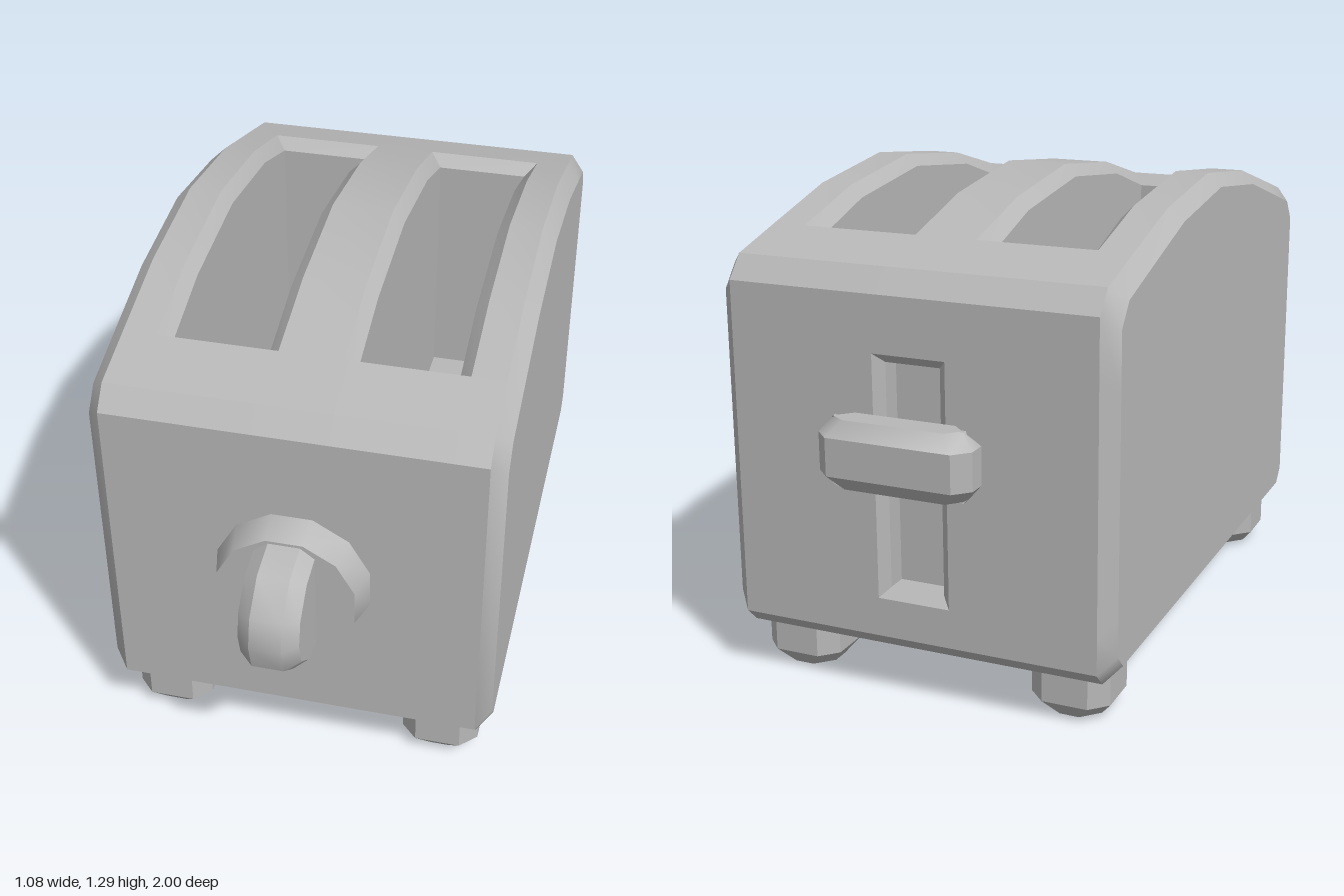
import * as THREE from 'three';
import { toCreasedNormals } from 'three/addons/utils/BufferGeometryUtils.js';

const grey = new THREE.MeshStandardMaterial({ color: 0xb8b8b8, side: THREE.DoubleSide });
grey.name = 'grey';

// Joins closed rings of [x, y, z] points; skip(i, k) leaves a quad open.
function loft(rings, { capStart = true, capEnd = true, skip = () => false } = {}) {
  const pos = [];
  const tri = (a, b, c) => pos.push(...a, ...b, ...c);
  const n = rings[0].length;
  for (let i = 0; i < rings.length - 1; i++) {
    for (let k = 0; k < n; k++) {
      if (skip(i, k)) continue;
      const [r, s, m] = [rings[i], rings[i + 1], (k + 1) % n];
      tri(r[k], r[m], s[m]);
      tri(r[k], s[m], s[k]);
    }
  }
  const first = rings[0], last = rings[rings.length - 1];
  for (let k = 1; k < n - 1; k++) {
    if (capStart) tri(first[0], first[k + 1], first[k]);
    if (capEnd) tri(last[0], last[k], last[k + 1]);
  }
  const geo = new THREE.BufferGeometry();
  geo.setAttribute('position', new THREE.Float32BufferAttribute(pos, 3));
  return toCreasedNormals(geo, 0.6);
}

// Box with all edges chamfered by c.
function chamferBox(w, h, d, c) {
  const ring = (x, z, y) => [
    [x, y, z - c], [x, y, c - z], [x - c, y, -z], [c - x, y, -z],
    [-x, y, c - z], [-x, y, z - c], [c - x, y, z], [x - c, y, z]];
  const small = (y) => ring(w / 2 - c * 0.8, d / 2 - c * 0.8, y);
  const full = (y) => ring(w / 2, d / 2, y);
  return loft([small(-h / 2), full(c - h / 2), full(h / 2 - c), small(h / 2)]);
}

export function createModel() {
  const model = new THREE.Group();
  const add = (name, geo, x = 0, y = 0, z = 0) => {
    const mesh = new THREE.Mesh(geo, grey);
    mesh.name = name;
    mesh.position.set(x, y, z);
    model.add(mesh);
  };

  // Side profile of the body as [z, y], up the front, over the arch, down the back
  const profile = [
    [0.68, 0.135], [0.72, 0.175], [0.72, 1.08], [0.67, 1.14],
    [0.5, 1.187], [0.25, 1.255], [-0.08, 1.295], [-0.41, 1.255], [-0.66, 1.187],
    [-0.83, 1.14], [-0.88, 1.08], [-0.88, 0.93], [-0.88, 0.28], [-0.88, 0.175], [-0.84, 0.135]];
  const section = (x) => profile.map(([z, y]) => Math.abs(x) > 0.53
    ? [x, y > 0.6 ? y - 0.035 : y + 0.04, -0.08 + (z + 0.08) * 0.95]
    : [x, y, z]);

  // Body shell, open at the two bread slots and the lever slot
  const xs = [0.54, 0.5, 0.41, 0.1, 0.085, -0.085, -0.1, -0.41, -0.5, -0.54];
  add('body', loft(xs.map(section), {
    skip: (i, k) => {
      const x = Math.abs(xs[i] + xs[i + 1]) / 2;
      const breadSlot = x > 0.085 && x < 0.41 && k >= 4 && k <= 7;
      const leverSlot = x < 0.1 && k === 11;
      return breadSlot || leverSlot;
    },
  }));

  // Bread slots: chamfered lip, walls and floor
  const arch = profile.slice(4, 9);
  for (const [name, lo, hi] of [['leftBreadSlot', 0.085, 0.41], ['rightBreadSlot', -0.41, -0.085]]) {
    const ring = (inset, height) => {
      const edge = arch.map(([z, y]) => [THREE.MathUtils.clamp(z, -0.66 + inset, 0.5 - inset), height(y)]);
      return [
        ...edge.map(([z, y]) => [hi - inset, y, z]),
        ...edge.reverse().map(([z, y]) => [lo + inset, y, z])];
    };
    add(name, loft([ring(0, (y) => y), ring(0.033, (y) => y - 0.033), ring(0.033, () => 0.45)],
      { capStart: false }));
  }

  // Lever slot recessed in the back
  const backRing = (inset, z) => {
    const x = 0.1 - inset, low = 0.28 + inset, high = 0.93 - inset;
    return [[-x, low, z], [-x, high, z], [x, high, z], [x, low, z]];
  };
  add('leverSlot', loft([backRing(0, -0.88), backRing(0.025, -0.855), backRing(0.025, -0.8)],
    { capStart: false }));

  // Lever
  add('lever', chamferBox(0.42, 0.18, 0.13, 0.04), 0, 0.69, -0.935);
  add('leverStem', new THREE.BoxGeometry(0.1, 0.1, 0.12), 0, 0.69, -0.85);

  // Knob: twelve-sided base and rounded grip
  const base = new THREE.CylinderGeometry(0.19, 0.215, 0.09, 12);
  base.rotateY(Math.PI / 12).rotateX(Math.PI / 2);
  add('knobBase', toCreasedNormals(base, 0.6), 0, 0.63, 0.755);
  const gripProfile = [[0.78, 0.455], [0.9, 0.48], [0.98, 0.55], [1, 0.63],
    [0.98, 0.71], [0.9, 0.785], [0.78, 0.81]];
  const gripRing = (x, s) => gripProfile.map(([z, y]) => [x, 0.63 + (y - 0.63) * s, 0.78 + (z - 0.78) * s]);
  add('knobGrip', loft([gripRing(0.08, 0.84), gripRing(0.042, 1), gripRing(-0.042, 1), gripRing(-0.08, 0.84)]));

  // Feet
  for (const [side, x] of [['Left', 0.39], ['Right', -0.39]]) {
    for (const [end, z] of [['front', 0.565], ['back', -0.715]]) {
      add(`${end}${side}Foot`, chamferBox(0.215, 0.19, 0.21, 0.045), x, 0.095, z);
    }
  }
  return model;
}
